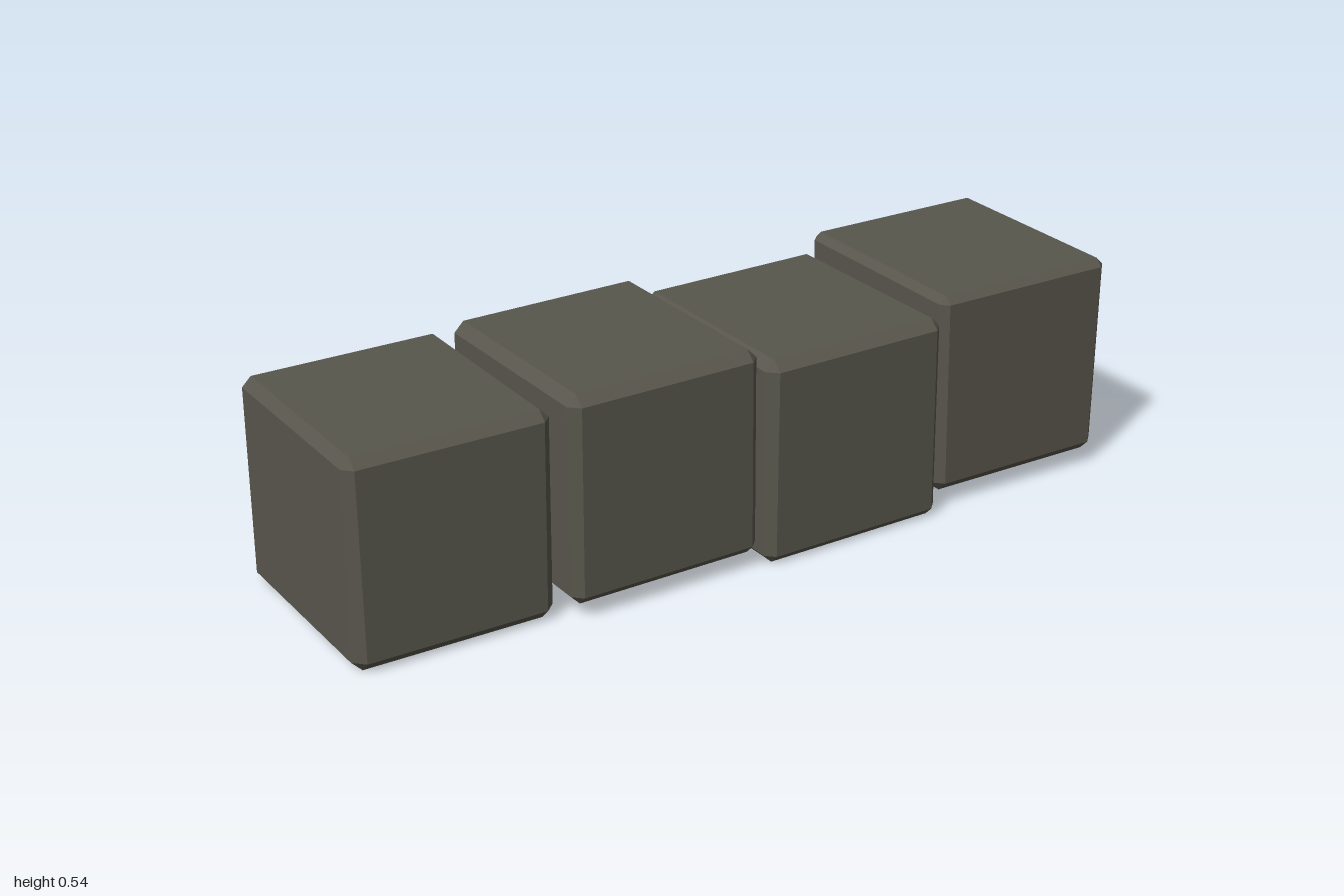
import * as THREE from 'three';
import { ConvexGeometry } from 'three/addons/geometries/ConvexGeometry.js';

// Box with flat chamfers; the chamfer changes linearly from bottom to top
function chamferedBlock(w, h, d, bottom, top) {
  const points = [];
  for (const sx of [-1, 1]) for (const sy of [-1, 1]) for (const sz of [-1, 1]) {
    const c = sy < 0 ? bottom : top;
    const x = w / 2, y = h / 2, z = d / 2;
    points.push(
      new THREE.Vector3(sx * x, sy * (y - c), sz * (z - c)),
      new THREE.Vector3(sx * (x - c), sy * y, sz * (z - c)),
      new THREE.Vector3(sx * (x - c), sy * (y - c), sz * z)
    );
  }
  return new ConvexGeometry(points);
}

export function createModel() {
  const group = new THREE.Group();
  group.name = 'stoneBlockRow';
  const stone = new THREE.MeshStandardMaterial({ color: 0x58564c });
  stone.name = 'dark stone';

  // Four stones in a row, each slightly shifted and turned
  const blocks = [
    { x: -0.757, y: 0.25, z: -0.027, yaw: 0.003, bottom: 0.026, top: 0.022 },
    { x: -0.254, y: 0.285, z: 0.01, yaw: 0.024, bottom: 0.022, top: 0.024 },
    { x: 0.248, y: 0.25, z: 0.013, yaw: 0.024, bottom: 0.021, top: 0.024 },
    { x: 0.753, y: 0.285, z: -0.02, yaw: 0.008, bottom: 0.025, top: 0.018 },
  ];
  blocks.forEach(({ x, y, z, yaw, bottom, top }, i) => {
    const mesh = new THREE.Mesh(chamferedBlock(0.488, 0.5, 0.536, bottom, top), stone);
    mesh.position.set(x, y, z);
    mesh.rotation.y = yaw;
    mesh.name = `stoneBlock${i + 1}`;
    group.add(mesh);
  });
  return group;
}
